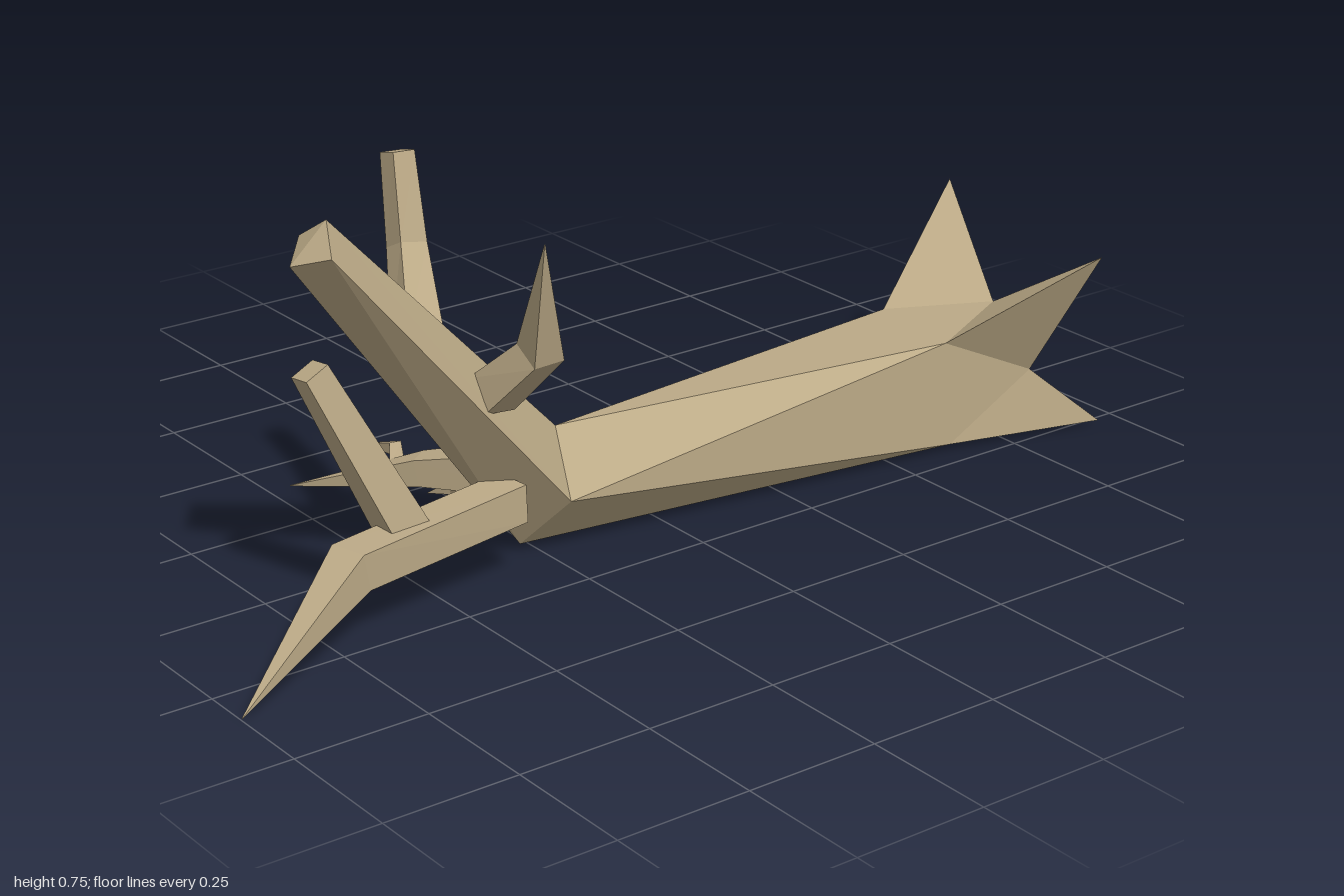
import * as THREE from 'three';

const bark = new THREE.MeshStandardMaterial({ color: 0xbcaa87 });
bark.name = 'bark';
bark.flatShading = true;

function meshFrom(name, triangles) {
  const geometry = new THREE.BufferGeometry();
  geometry.setAttribute('position', new THREE.Float32BufferAttribute(triangles.flat(2), 3));
  geometry.computeVertexNormals();
  const mesh = new THREE.Mesh(geometry, bark);
  mesh.name = name;
  return mesh;
}

// Skins four-cornered rings, closing the start and, if asked, the end
function loft(rings, capEnd) {
  const tris = [];
  for (let r = 0; r < rings.length - 1; r++) {
    const a = rings[r], b = rings[r + 1];
    for (let i = 0; i < 4; i++) {
      const j = (i + 1) % 4;
      tris.push([a[i], a[j], b[j]], [a[i], b[j], b[i]]);
    }
  }
  const s = rings[0], e = rings[rings.length - 1];
  tris.push([s[0], s[2], s[1]], [s[0], s[3], s[2]]);
  if (capEnd) tris.push([e[0], e[1], e[2]], [e[0], e[2], e[3]]);
  return tris;
}

// Square-section branch through points [x, y, z, radius]
function branch(name, path, ref, roll = Math.PI / 4) {
  const pts = path.map(p => new THREE.Vector3(p[0], p[1], p[2]));
  const rings = path.map((p, k) => {
    const before = pts[Math.max(k - 1, 0)], after = pts[Math.min(k + 1, pts.length - 1)];
    const t = after.clone().sub(before).normalize();
    const u = new THREE.Vector3(...ref).cross(t).normalize();
    const v = t.clone().cross(u);
    return [0, 1, 2, 3].map(i => {
      const angle = roll + i * Math.PI / 2;
      return pts[k].clone()
        .addScaledVector(u, Math.cos(angle) * p[3])
        .addScaledVector(v, Math.sin(angle) * p[3]).toArray();
    });
  });
  return meshFrom(name, loft(rings, true));
}

export function createModel() {
  const tree = new THREE.Group();
  tree.name = 'fallenTree';

  // Trunk: broken top, bend, then a twist towards the root flare
  const top = [[-0.73, 0.745, 0.205], [-0.765, 0.705, 0.275], [-0.8, 0.68, 0.205], [-0.745, 0.705, 0.145]];
  const bend = [[-0.2, 0.22, 0.082], [-0.243, 0.123, 0.188], [-0.28, 0.015, 0.085], [-0.243, 0.12, -0.02]];
  const flare = [[0.64, 0.22, -0.01], [0.61, 0.222, 0.2], [0.63, 0.013, 0.2], [0.65, 0.013, -0.01]];
  tree.add(meshFrom('trunk', loft([top, bend, flare], false)));

  // Four pointed roots, with a notch between each pair
  const tips = [[0.915, 0.395, -0.135], [0.83, 0.395, 0.375], [0.94, 0.012, 0.28], [1, 0.015, -0.097]];
  const notches = [[0.8, 0.24, 0.123], [0.8, 0.135, 0.23], [0.8, 0.03, 0.125], [0.8, 0.135, 0.02]];
  const roots = [];
  for (let i = 0; i < 4; i++) {
    const next = (i + 1) % 4, prev = (i + 3) % 4;
    roots.push(
      [flare[i], flare[next], notches[i]],
      [flare[i], notches[i], tips[i]],
      [flare[i], tips[i], notches[prev]],
      [notches[prev], tips[i], notches[i]]
    );
  }
  roots.push([notches[0], notches[1], notches[2]], [notches[0], notches[2], notches[3]]);
  tree.add(meshFrom('roots', roots));

  const X = [1, 0, 0], Y = [0, 1, 0];

  // Long low limb and its upright stub
  tree.add(branch('lowLimb', [[-0.345, 0.148, 0.16, 0.05], [-0.7, 0.13, 0.2, 0.05], [-1, 0.006, 0.345, 0.001]], Y));
  tree.add(branch('limbStub', [[-0.57, 0.14, 0.17, 0.05], [-0.722, 0.46, 0.125, 0.034]], X));

  // Upper branches
  tree.add(branch('backBranch', [[-0.51, 0.46, 0.125, 0.048], [-0.46, 0.593, 0.02, 0.036], [-0.45, 0.747, -0.018, 0.03]], X));
  tree.add(branch('frontBranch', [[-0.395, 0.355, 0.17, 0.05], [-0.365, 0.456, 0.272, 0.042], [-0.417, 0.68, 0.36, 0.001]], X));

  // Low rear branch with two twigs
  tree.add(branch('rearBranch', [[-0.19, 0.115, 0.02, 0.06], [-0.32, 0.083, -0.165, 0.036], [-0.47, 0.015, -0.375, 0.001]], Y));
  tree.add(branch('outerTwig', [[-0.345, 0.068, -0.205, 0.02], [-0.307, 0.085, -0.27, 0.016], [-0.316, 0.065, -0.362, 0.001]], Y));
  tree.add(branch('innerTwig', [[-0.265, 0.072, -0.1, 0.02], [-0.25, 0.028, -0.165, 0.016], [-0.27, 0.002, -0.222, 0.001]], Y));

  return tree;
}
